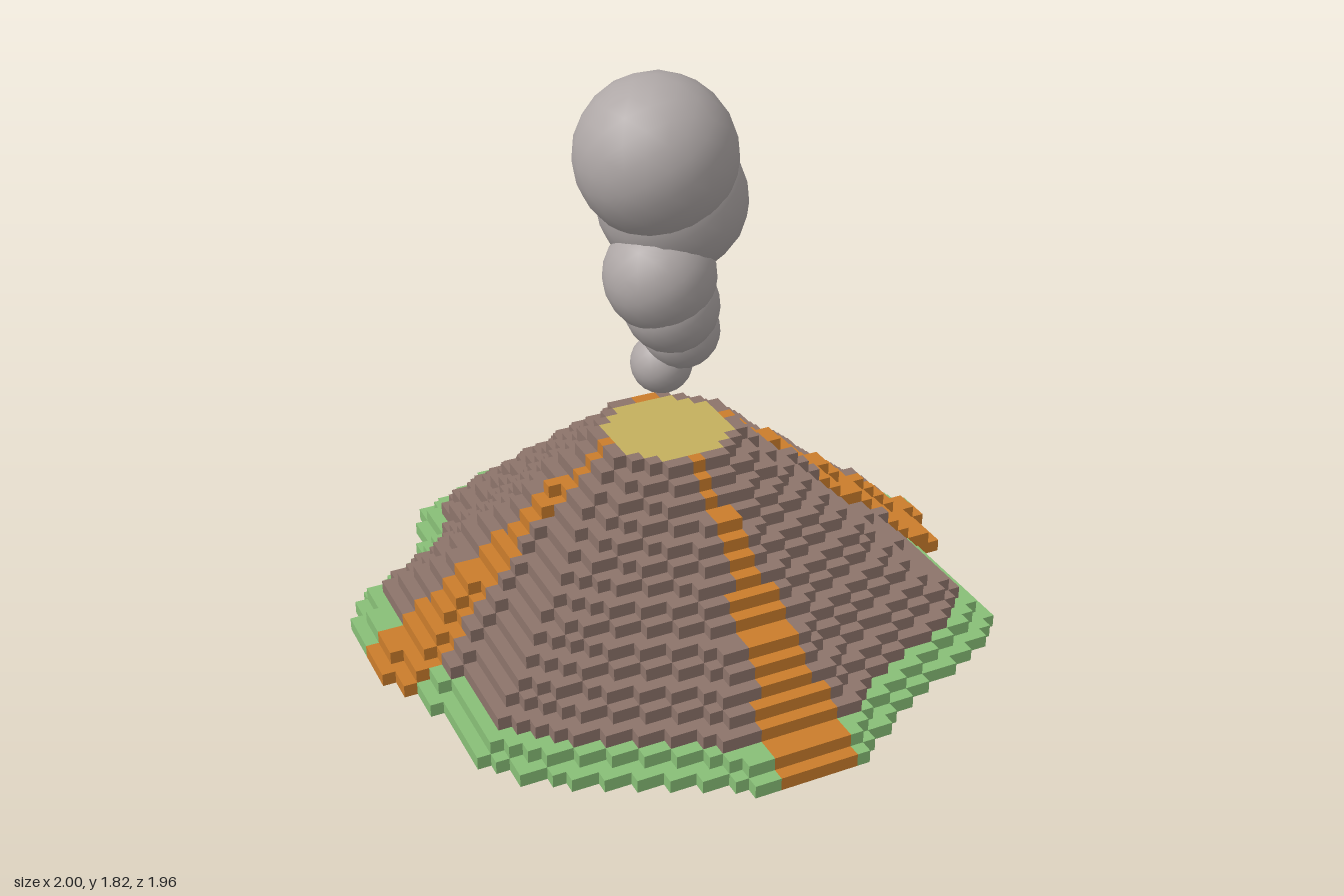
import * as THREE from 'three';

const CELL = 1 / 24, LAYERS = 16, RIM = 0.228, CX = -CELL / 2;

// Plan outline of the foot of the mountain, [x, z], going round from the back
const OUTLINE = [
  [-0.33, -0.98], [-0.21, -0.98], [-0.2, -0.94], [0.16, -0.94], [0.17, -0.98], [0.33, -0.98],
  [0.42, -0.9], [0.51, -0.83], [0.58, -0.72], [0.66, -0.61], [0.78, -0.47], [0.91, -0.38],
  [0.95, -0.2], [1, -0.17], [1, -0.06], [0.955, -0.05], [0.955, 0.1], [0.875, 0.12], [0.875, 0.55],
  [0.78, 0.64], [0.62, 0.71], [0.46, 0.78], [0.29, 0.87], [0.165, 0.98], [-0.21, 0.98],
  [-0.29, 0.9], [-0.46, 0.81], [-0.62, 0.74], [-0.78, 0.63], [-0.875, 0.52], [-0.875, 0.24],
  [-0.92, 0.2], [-0.957, 0.08], [-1, -0.03], [-1, -0.27], [-0.957, -0.4], [-0.79, -0.49],
  [-0.66, -0.61], [-0.625, -0.7], [-0.6, -0.83], [-0.46, -0.9],
].map(([x, z]) => [x - CX, z]);

// Distance from the centre to the outline in direction (dx, dz)
function footRadius(dx, dz) {
  let best = 0;
  OUTLINE.forEach(([ax, az], i) => {
    const [bx, bz] = OUTLINE[(i + 1) % OUTLINE.length];
    const ex = bx - ax, ez = bz - az, det = dx * ez - dz * ex;
    if (Math.abs(det) < 1e-9) return;
    const t = (ax * ez - az * ex) / det, s = (ax * dz - az * dx) / det;
    if (t > 0 && s >= 0 && s <= 1) best = Math.max(best, t);
  });
  return best;
}

// Each column of cells reaches the layer where the straight slope passes its middle
const heights = new Map();
function columnHeight(u, w) {
  const key = u * 1000 + w;
  if (!heights.has(key)) {
    const r = Math.hypot(u, w) * CELL;
    let h = LAYERS;
    if (r > RIM) {
      const R = footRadius(u * CELL / r, w * CELL / r) - 0.008;
      h = r > R ? 0 : Math.floor((LAYERS - 1) * (R - r) / (R - RIM)) + 1;
    }
    heights.set(key, h);
  }
  return heights.get(key);
}

// Lava streams narrow in steps on the way up; each starts at the given layers
function inStream(a, layer, steps) {
  const n = layer < steps[0] ? 3 : layer < steps[1] ? 2 : layer < steps[2] ? 1 : 0;
  return n === 0 ? a === 0 : a > -n && a <= n;
}

function cellColour(u, w, k, ny) {
  const r = Math.hypot(u, w);
  if (ny < 0) {
    if (r * CELL < 0.8) return 'rock';
  } else if (k === LAYERS - 1 && ny > 0 && r < 4.9) return 'crater';
  const steps = w < 0 ? [2, 6, 16] : [4, 9, 13];
  if (Math.abs(w) > Math.abs(u) ? inStream(u, k, steps) : inStream(-w, k, [4, 9, 13])) return 'lava';
  return k < 2 ? 'grass' : 'rock';
}

// Only the outer faces of the cells, gathered by colour
function buildMountain() {
  const faces = { rock: [], grass: [], lava: [], crater: [] };
  const dirs = [[1, 0, 0], [-1, 0, 0], [0, 1, 0], [0, -1, 0], [0, 0, 1], [0, 0, -1]]
    .map((d) => new THREE.Vector3(...d));
  const corners = [[-1, -1], [1, -1], [1, 1], [-1, -1], [1, 1], [-1, 1]];
  const p = new THREE.Vector3();
  for (let u = -26; u <= 26; u++) for (let w = -26; w <= 26; w++) {
    const h = columnHeight(u, w);
    for (let k = 0; k < h; k++) for (const n of dirs) {
      const ky = k + n.y;
      if (ky >= 0 && ky < columnHeight(u + n.x, w + n.z)) continue;
      const a = new THREE.Vector3(n.y, n.z, n.x), b = n.clone().cross(a);
      const list = faces[cellColour(u, w, k, n.y)];
      for (const [s, t] of corners) {
        p.set(u, k + 0.5, w).addScaledVector(n, 0.5).addScaledVector(a, s / 2).addScaledVector(b, t / 2);
        list.push(p.x * CELL + CX, p.y * CELL, p.z * CELL);
      }
    }
  }
  return faces;
}

export function createModel() {
  const group = new THREE.Group();
  const mat = (name, color) => Object.assign(new THREE.MeshStandardMaterial({ color }), { name });

  // Stepped mountain: rock slopes, grass foot, lava streams and crater pool
  const materials = {
    rock: mat('brown rock', 0x8d746b),
    grass: mat('green grass', 0x88bf77),
    lava: mat('orange lava', 0xcb7d2b),
    crater: mat('yellow lava', 0xc4b05e),
  };
  const names = { rock: 'rockSlopes', grass: 'grassFoot', lava: 'lavaStreams', crater: 'craterPool' };
  const mountain = new THREE.Group();
  mountain.name = 'mountain';
  for (const [key, list] of Object.entries(buildMountain())) {
    const geo = new THREE.BufferGeometry();
    geo.setAttribute('position', new THREE.Float32BufferAttribute(list, 3));
    geo.computeVertexNormals();
    const mesh = new THREE.Mesh(geo, materials[key]);
    mesh.name = names[key];
    mountain.add(mesh);
  }
  group.add(mountain);

  // Smoke column: overlapping puffs growing upwards, [x, y, z, radius]
  const smoke = mat('grey smoke', 0xaea7a6);
  const column = new THREE.Group();
  column.name = 'smokeColumn';
  [
    [-0.012, 0.867, -0.06, 0.098],
    [0.038, 0.985, -0.025, 0.122],
    [-0.02, 1.105, 0.03, 0.148],
    [-0.058, 1.21, 0.028, 0.173],
    [0.022, 1.41, -0.055, 0.231],
    [-0.048, 1.572, -0.018, 0.247],
  ].forEach(([x, y, z, r], i) => {
    const puff = new THREE.Mesh(new THREE.IcosahedronGeometry(r, 3), smoke);
    puff.position.set(x, y, z);
    puff.name = 'smokePuff' + (i + 1);
    column.add(puff);
  });
  group.add(column);
  return group;
}
